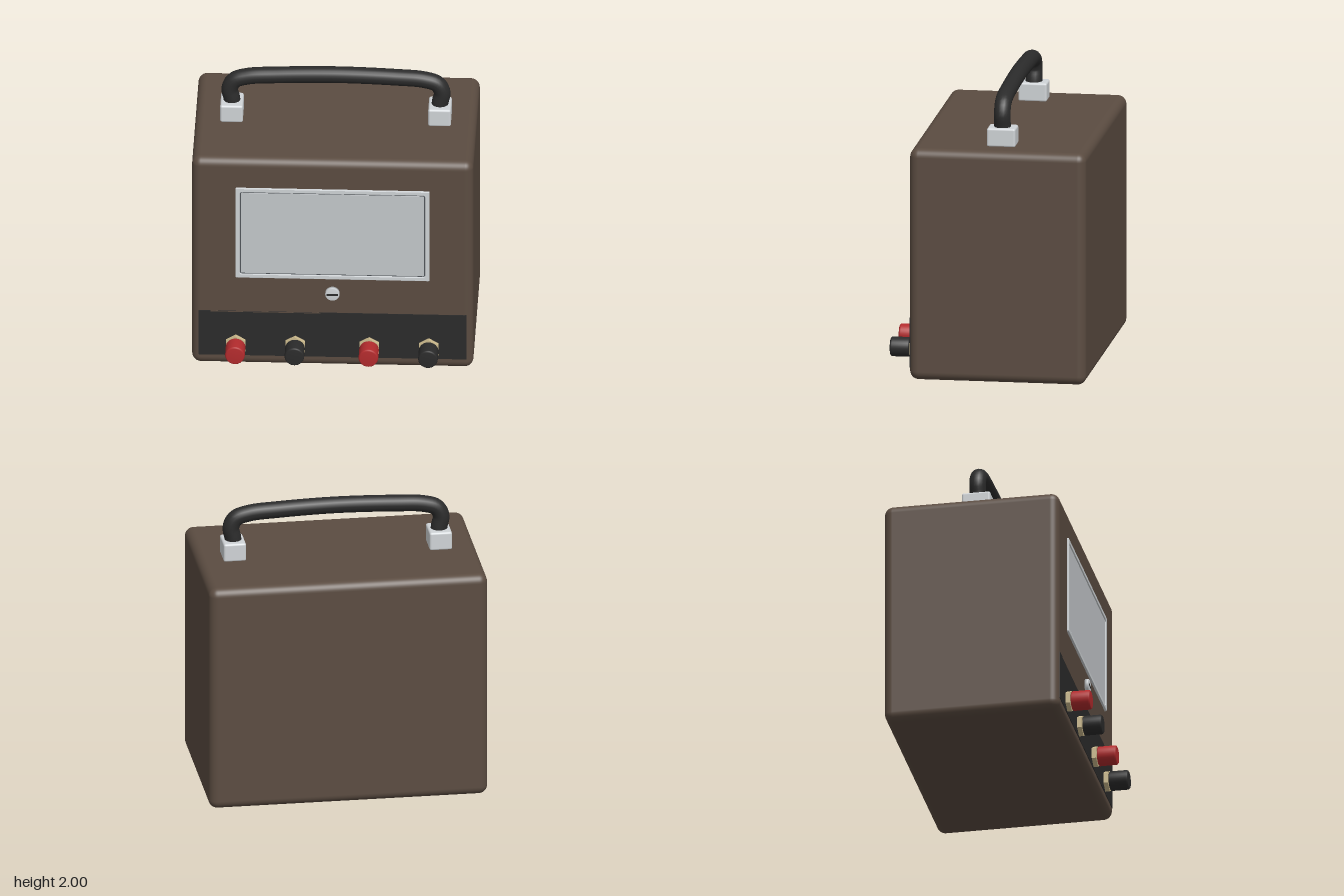
import * as THREE from 'three';
import { RoundedBoxGeometry } from 'three/addons/geometries/RoundedBoxGeometry.js';

const material = (name, color) => Object.assign(new THREE.MeshStandardMaterial({ color }), { name });

// rectangle path centred on the origin, with rounded corners
function roundedRect(path, w, h, r) {
  const x = w / 2 - r, y = h / 2 - r;
  path.absarc(x, y, r, 0, Math.PI / 2);
  path.absarc(-x, y, r, Math.PI / 2, Math.PI);
  path.absarc(-x, -y, r, Math.PI, Math.PI * 1.5);
  path.absarc(x, -y, r, Math.PI * 1.5, Math.PI * 2);
  path.closePath();
  return path;
}

export function createModel() {
  const brown = material('brown case', 0x5b4c41);
  const black = material('black plastic', 0x2b2b2b);
  const silver = material('silver metal', 0xd0d4d7);
  const glass = material('pale screen', 0xc4c8cb);
  const groove = material('grey groove', 0x50555a);
  const red = material('red plastic', 0xb32b2d);
  const brass = material('brass', 0xcbb98c);

  const model = new THREE.Group();
  const add = (name, geometry, mat, x = 0, y = 0, z = 0, parent = model) => {
    const mesh = new THREE.Mesh(geometry, mat);
    mesh.name = name;
    mesh.position.set(x, y, z);
    parent.add(mesh);
    return mesh;
  };
  const front = 0.52;

  // case and lower control panel
  add('case', new RoundedBoxGeometry(1.912, 1.61, 1.21, 5, 0.06), brown, 0, 0.805, -0.085);
  add('controlPanel', new THREE.BoxGeometry(1.82, 0.345, 0.008), black, 0, 0.252, front);
  add('panelTrim', new THREE.BoxGeometry(0.75, 0.006, 0.009), brown, -0.455, 0.421, front);

  // meter window: frame, dark groove and screen
  const meter = new THREE.Group();
  meter.name = 'meterWindow';
  meter.position.set(0, 1.042, front);
  model.add(meter);
  const frameShape = roundedRect(new THREE.Shape(), 1.32, 0.7, 0.008);
  frameShape.holes.push(roundedRect(new THREE.Path(), 1.26, 0.64, 0.015));
  const frame = new THREE.ExtrudeGeometry(frameShape, {
    depth: 0.01, bevelEnabled: true, bevelThickness: 0.004, bevelSize: 0.004, bevelOffset: -0.004, bevelSegments: 2
  });
  add('windowFrame', frame, silver, 0, 0, 0, meter);
  add('windowGroove', new THREE.BoxGeometry(1.28, 0.66, 0.006), groove, 0, 0, 0.001, meter);
  const screenShape = roundedRect(new THREE.Shape(), 1.245, 0.625, 0.01);
  add('screen', new THREE.ExtrudeGeometry(screenShape, { depth: 0.009, bevelEnabled: false }), glass, 0, 0, 0, meter);

  // slotted zero-adjust screw
  const screwProfile = [[0, 0], [0.049, 0], [0.049, 0.022], [0.044, 0.028], [0, 0.028]];
  const lathe = (profile, n) => new THREE.LatheGeometry(profile.map(p => new THREE.Vector2(...p)), n).rotateX(Math.PI / 2);
  add('adjustScrew', lathe(screwProfile, 32), silver, 0, 0.58, front);
  add('screwSlot', new THREE.BoxGeometry(0.076, 0.014, 0.004), black, 0, 0.58, front + 0.028);

  // binding posts: hexagonal nut, collar and cap
  const nutGeometry = new THREE.CylinderGeometry(0.076, 0.076, 0.034, 6).toNonIndexed().rotateX(Math.PI / 2);
  nutGeometry.computeVertexNormals();
  const capProfile = [[0, 0], [0.06, 0], [0.067, 0.007], [0.067, 0.118], [0.064, 0.127], [0.057, 0.132], [0, 0.132]];
  const capGeometry = lathe(capProfile, 32);
  const collarGeometry = new THREE.CylinderGeometry(0.05, 0.05, 0.012, 24).rotateX(Math.PI / 2);
  [[-0.657, red], [-0.253, black], [0.25, red], [0.655, black]].forEach(([x, mat]) => {
    const post = new THREE.Group();
    post.name = 'bindingPost';
    post.position.set(x, 0.165, front);
    model.add(post);
    add('nut', nutGeometry, brass, 0, 0, 0.018, post);
    add('collar', collarGeometry, brass, 0, 0, 0.036, post);
    add('cap', capGeometry, mat, 0, 0, 0.038, post);
  });

  // handle mounts and curved grip
  for (const side of [-1, 1]) {
    add('handleMount', new RoundedBoxGeometry(0.155, 0.13, 0.197, 3, 0.015), silver, side * 0.707, 1.67, -0.085);
  }
  const half = [[0.703, 1.68], [0.709, 1.75], [0.722, 1.82], [0.69, 1.885], [0.6, 1.917], [0.4, 1.932]];
  const points = [
    ...half.map(([x, y]) => new THREE.Vector3(-x, y, 0)),
    new THREE.Vector3(0, 1.943, 0),
    ...half.slice().reverse().map(([x, y]) => new THREE.Vector3(x, y, 0))
  ];
  add('handleGrip', new THREE.TubeGeometry(new THREE.CatmullRomCurve3(points), 96, 0.057, 20), black, 0, 0, -0.085);

  return model;
}
